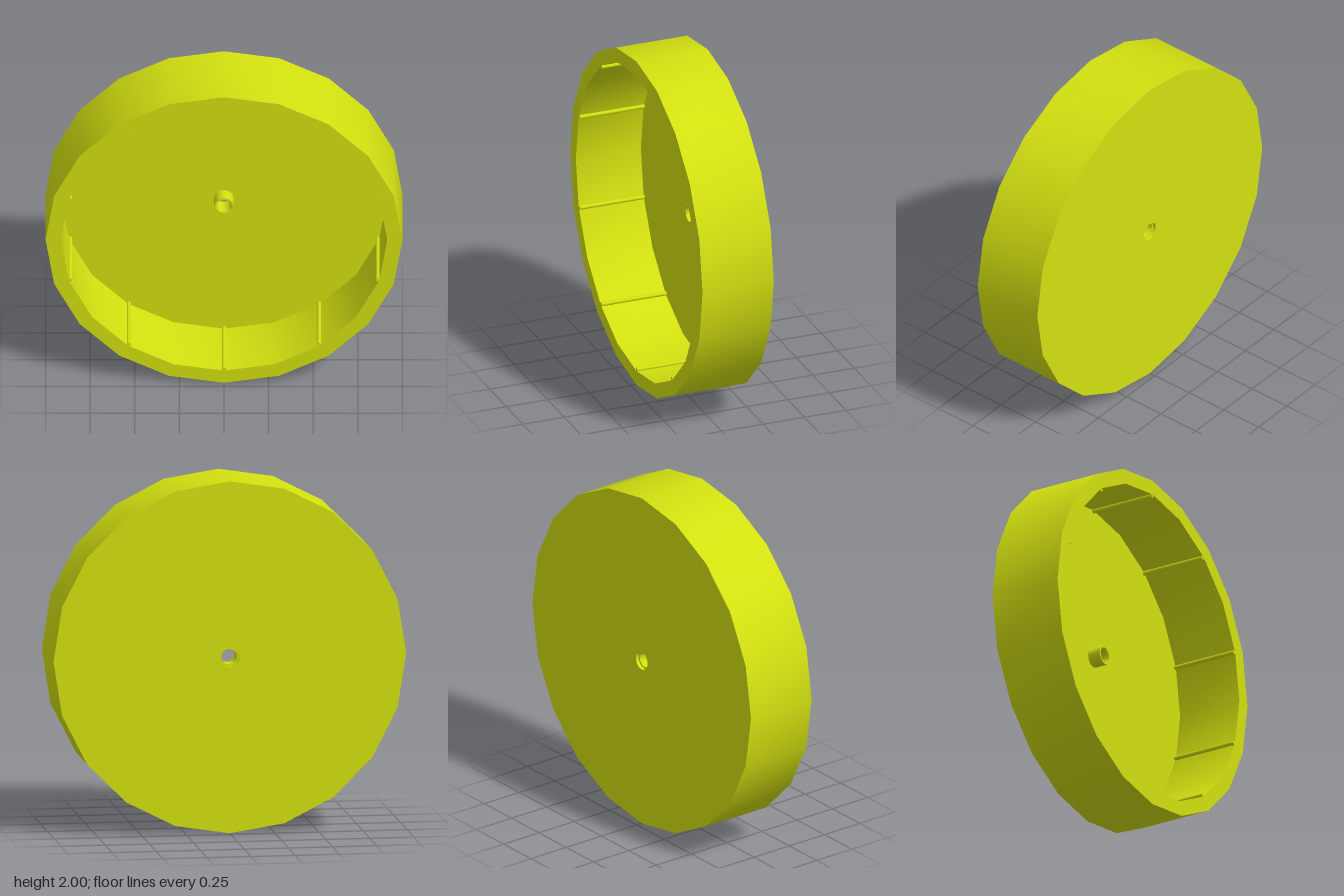
import * as THREE from 'three';
import { toCreasedNormals } from 'three/addons/utils/BufferGeometryUtils.js';

const RADIUS = 1, INNER = 0.915, HALF = 0.215, FLOOR = -0.177;

// Closed [radius, z] profile turned around the z axis, smooth with sharp rims
function turned(profile, sides) {
  const points = profile.map(([r, z]) => new THREE.Vector2(r, z));
  points.push(points[0].clone());
  const geometry = new THREE.LatheGeometry(points, sides).rotateX(Math.PI / 2);
  return toCreasedNormals(geometry, 1);
}

export function createModel() {
  const model = new THREE.Group();
  model.name = 'roundPan';
  const yellow = new THREE.MeshStandardMaterial({ color: 0xd2e010 });
  yellow.name = 'limeYellow';

  const add = (name, geometry) => {
    const mesh = new THREE.Mesh(geometry, yellow);
    mesh.name = name;
    mesh.position.y = 1;
    model.add(mesh);
    return mesh;
  };

  // Shallow drum, open at the front, with a bored floor
  add('pan', turned([
    [0.054, -HALF], [RADIUS, -HALF], [RADIUS, HALF],
    [INNER, HALF], [INNER, FLOOR], [0.054, FLOOR],
  ], 20));

  // Hollow hub, its rear end set slightly into the floor
  add('hub', turned([
    [0.045, -0.195], [0.056, -0.195], [0.056, -0.1], [0.045, -0.1],
  ], 12));

  // Thin round ribs along every second inner corner
  const length = HALF - FLOOR;
  const ribGeometry = new THREE.CylinderGeometry(0.012, 0.012, length, 10).rotateX(Math.PI / 2);
  for (let i = 0; i < 10; i++) {
    const angle = Math.PI / 2 + i * Math.PI / 5;
    const rib = add('rib' + (i + 1), ribGeometry);
    rib.position.set(0.907 * Math.cos(angle), 1 + 0.907 * Math.sin(angle), FLOOR + length / 2 - 0.001);
  }
  return model;
}
